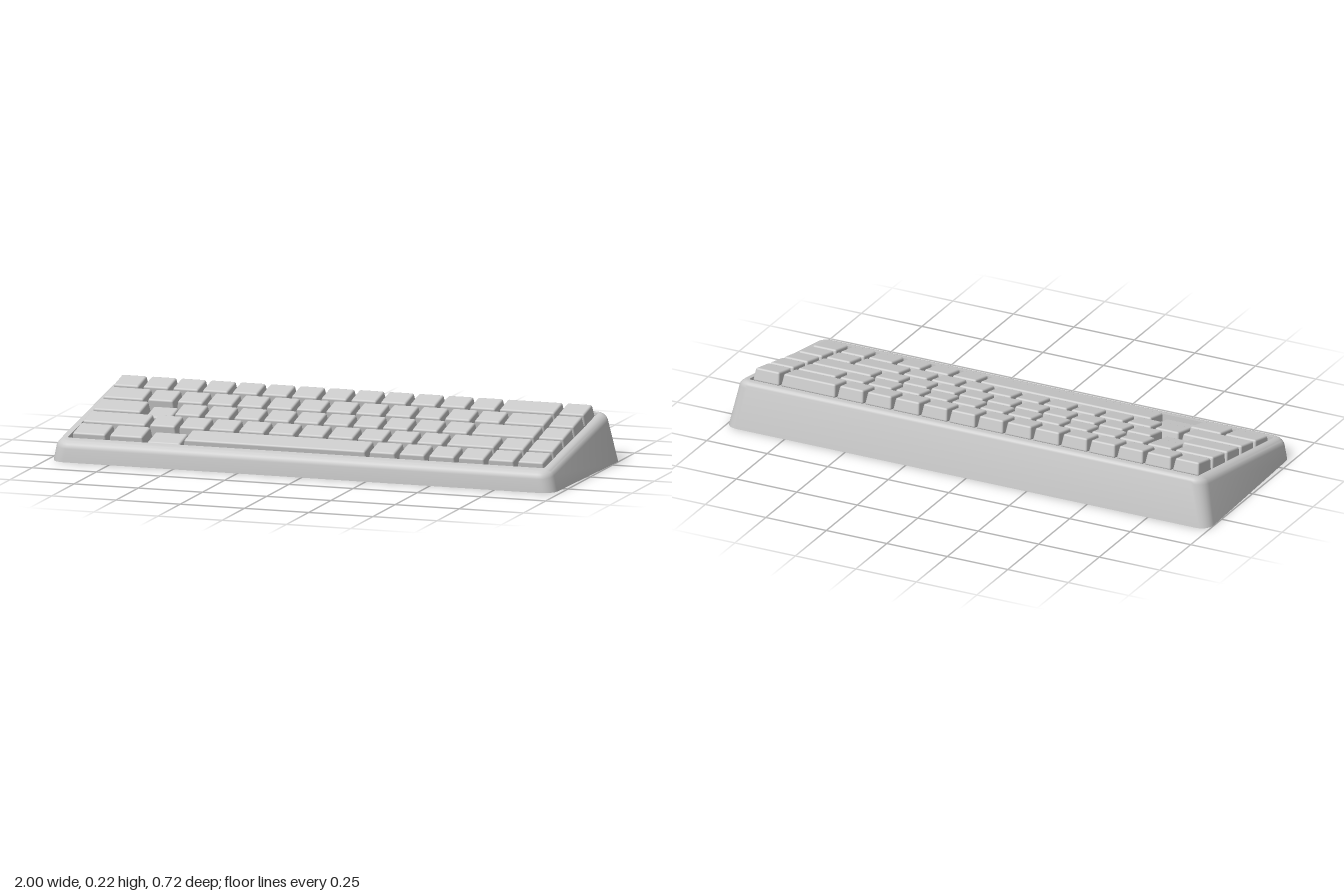
import * as THREE from 'three';
import { toCreasedNormals } from 'three/addons/utils/BufferGeometryUtils.js';
import { RoundedBoxGeometry } from 'three/addons/geometries/RoundedBoxGeometry.js';

const TILT = 0.21;      // slope angle of the key field
const KEY_Y = 0.161;    // height of the key tops at z = 0
const UNIT = 0.1156;    // width of a one-unit key
const ROW = 0.115;      // row spacing seen from above
const KEY_H = 0.05;

const material = new THREE.MeshStandardMaterial({ color: 0xcccccc });
const rimY = z => 0.134 - 0.159 * z;
const floorY = z => KEY_Y - 0.055 - Math.tan(TILT) * z;

// Rounded rectangle of points; flare widens it in proportion to its depth below the rim
function ring(halfX, zFront, zBack, radius, yAt, flare = 0) {
  const points = [], steps = 6;
  const corners = [[1, 1], [-1, 1], [-1, -1], [1, -1]];
  corners.forEach(([sx, sz], q) => {
    for (let i = 0; i <= steps; i++) {
      const a = (q + i / steps) * Math.PI / 2;
      const z = (sz > 0 ? zFront - radius : zBack + radius) + radius * Math.sin(a);
      const y = yAt(z);
      const x = sx * (halfX - radius + flare * (rimY(z) - y)) + radius * Math.cos(a);
      points.push(new THREE.Vector3(x, y, z));
    }
  });
  return points;
}

// Skin closed rings from the underside, up the walls, over the rim and into the recess
function caseGeometry() {
  const rings = [ring(0.962, 0.36, -0.36, 0.05, () => 0, 0.2)];
  const fillet = 0.026, steps = 5;
  for (let i = 0; i <= steps; i++) {
    const a = i / steps * Math.PI / 2;
    const inset = fillet * (1 - Math.cos(a)), drop = fillet * (1 - Math.sin(a));
    rings.push(ring(0.962 - inset, 0.36 - inset, -0.337 + inset, 0.05 - inset, z => rimY(z) - drop, 0.2));
  }
  rings.push(ring(0.928, 0.312, -0.3, 0.01, rimY));
  rings.push(ring(0.928, 0.312, -0.3, 0.01, floorY));
  const n = rings[0].length;
  rings.unshift(Array(n).fill(new THREE.Vector3(0, 0, 0)));
  rings.push(Array(n).fill(new THREE.Vector3(0, floorY(0), 0)));

  const index = [];
  for (let i = 0; i < rings.length - 1; i++) {
    for (let j = 0; j < n; j++) {
      const k = (j + 1) % n;
      const a = i * n + j, b = i * n + k, c = b + n, d = a + n;
      if (i > 0) index.push(a, c, b);
      if (i < rings.length - 2) index.push(a, d, c);
    }
  }
  const geometry = new THREE.BufferGeometry().setFromPoints(rings.flat());
  geometry.setIndex(index);
  return toCreasedNormals(geometry, 0.5);
}

// Keycap: rounded box drawn in towards the top, with its top face at y = 0
function keyGeometry(units) {
  const geometry = new RoundedBoxGeometry(units * UNIT - 0.007, KEY_H, 0.109, 2, 0.007);
  const p = geometry.attributes.position;
  for (let i = 0; i < p.count; i++) {
    const t = p.getY(i) / KEY_H + 0.5;
    p.setX(i, p.getX(i) - Math.sign(p.getX(i)) * 0.006 * t);
    p.setZ(i, p.getZ(i) - Math.sign(p.getZ(i)) * 0.005 * t);
  }
  return geometry.translate(0, -KEY_H / 2, 0);
}

export function createModel() {
  const model = new THREE.Group();
  model.name = 'keyboard';

  const body = new THREE.Mesh(caseGeometry(), material);
  body.name = 'case';
  model.add(body);

  // Key widths in units, from the back row to the front row
  const ones = count => Array(count).fill(1);
  const rows = [
    [...ones(13), 2, 1],
    [1.5, ...ones(12), 1.5, 1],
    [1.75, ...ones(11), 2.25, 1],
    [2.25, ...ones(10), 1.75, 1, 1],
    [1.25, 1.25, 1.25, 6.25, ...ones(6)],
  ];
  const pressed = ['2-1', '4-2'];   // two keys are held down

  const keys = new THREE.Group();
  keys.name = 'keys';
  keys.position.y = KEY_Y;
  keys.rotation.x = TILT;
  const cache = {};
  rows.forEach((row, r) => {
    let x = -8 * UNIT;
    row.forEach((units, c) => {
      cache[units] ??= keyGeometry(units);
      const key = new THREE.Mesh(cache[units], material);
      key.name = units > 6 ? 'spaceBar' : `keyRow${r + 1}Number${c + 1}`;
      const drop = pressed.includes(`${r}-${c}`) ? 0.018 : 0;
      key.position.set(x + units * UNIT / 2, -drop, (-0.22 + r * ROW) / Math.cos(TILT));
      keys.add(key);
      x += units * UNIT;
    });
  });
  model.add(keys);
  return model;
}
